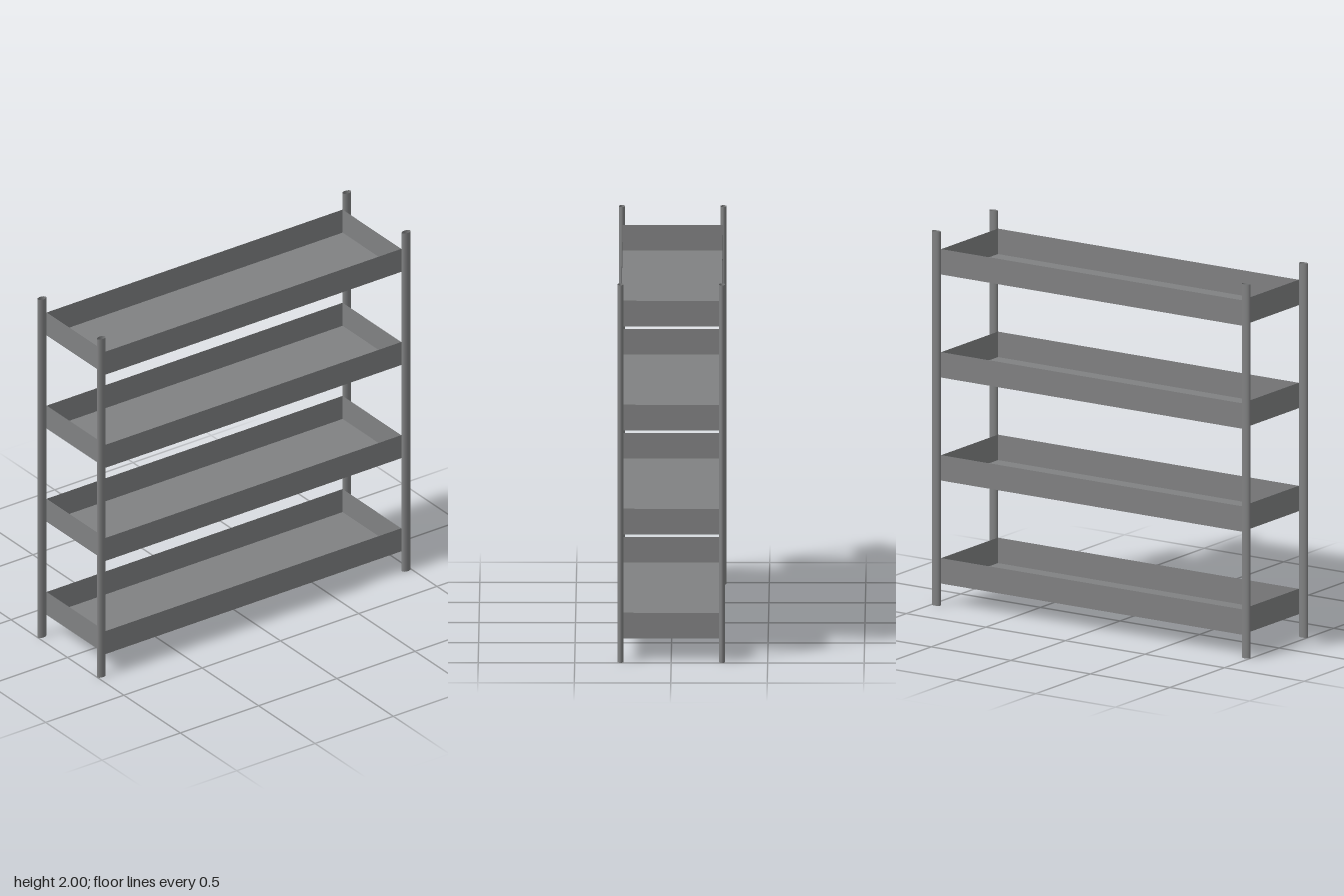
import * as THREE from 'three';

export function createModel() {
  const model = new THREE.Group();
  model.name = 'shelvingRack';
  const steel = new THREE.MeshStandardMaterial({ color: 0x808182, side: THREE.DoubleSide });
  steel.name = 'grey steel';

  const W = 1.89, D = 0.52, H = 0.136;

  // sheet panel helper
  const panel = (parent, name, w, h, pos, rx, ry) => {
    const mesh = new THREE.Mesh(new THREE.PlaneGeometry(w, h), steel);
    mesh.name = name;
    mesh.position.set(...pos);
    mesh.rotation.set(rx, ry, 0);
    parent.add(mesh);
  };

  // four open trays with thin sheet walls
  for (let i = 0; i < 4; i++) {
    const tray = new THREE.Group();
    tray.name = `shelfTray${i + 1}`;
    tray.position.y = 0.118 + i * 0.551;
    panel(tray, 'trayFloor', W, D, [0, 0, 0], -Math.PI / 2, 0);
    panel(tray, 'frontWall', W, H, [0, H / 2, D / 2], 0, 0);
    panel(tray, 'backWall', W, H, [0, H / 2, -D / 2], 0, Math.PI);
    panel(tray, 'leftWall', D, H, [W / 2, H / 2, 0], 0, Math.PI / 2);
    panel(tray, 'rightWall', D, H, [-W / 2, H / 2, 0], 0, -Math.PI / 2);
    model.add(tray);
  }

  // oval open-ended corner posts
  const postGeometry = new THREE.CylinderGeometry(1, 1, 2, 24, 1, true);
  postGeometry.scale(0.026, 1, 0.016);
  for (const [z, end] of [[1, 'front'], [-1, 'back']]) {
    for (const [x, side] of [[1, 'Left'], [-1, 'Right']]) {
      const post = new THREE.Mesh(postGeometry, steel);
      post.name = `${end}${side}Post`;
      post.position.set(x * 0.974, 1, z * 0.263);
      model.add(post);
    }
  }
  return model;
}
